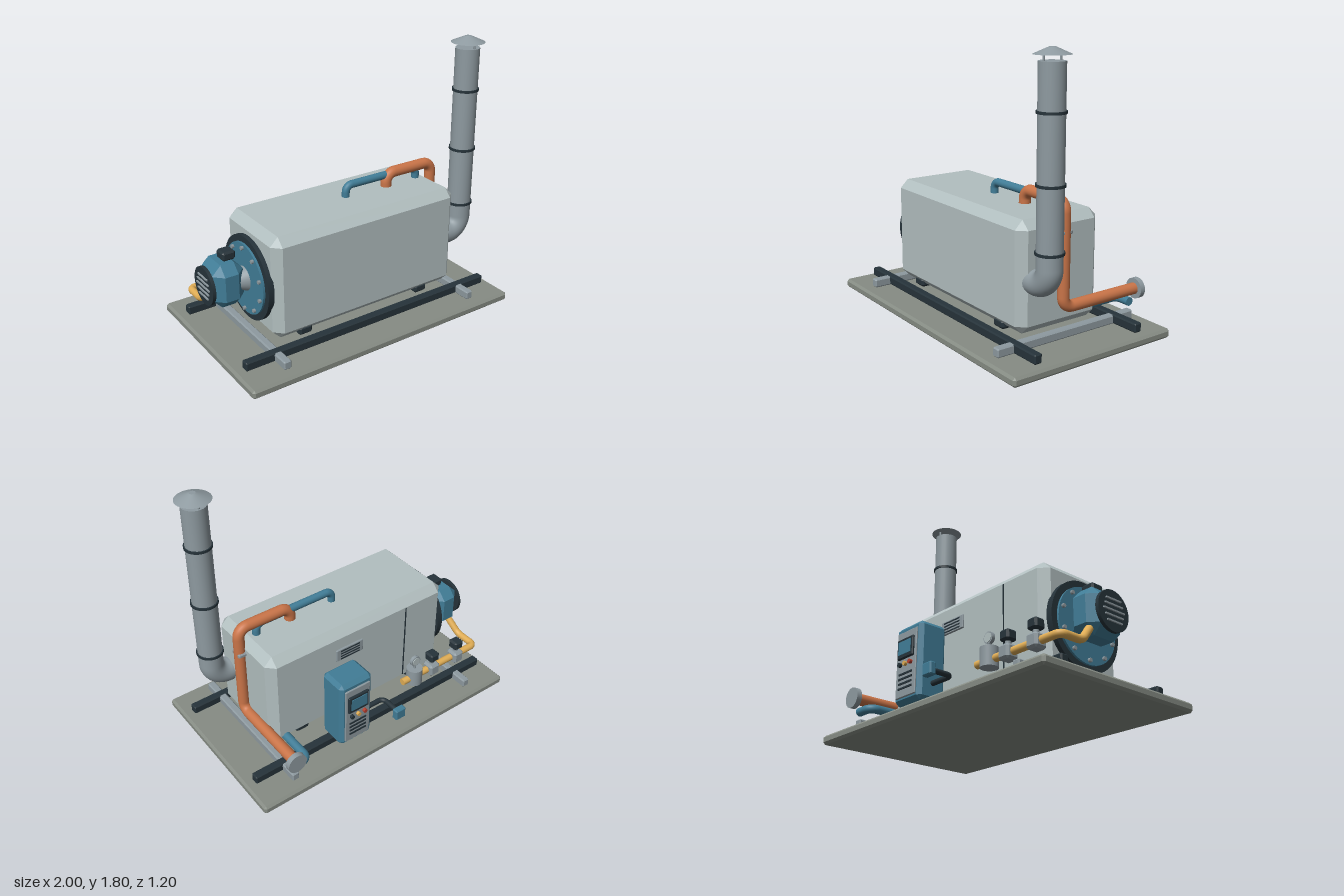
import * as THREE from 'three';
import { ConvexGeometry } from 'three/addons/geometries/ConvexGeometry.js';

const mat = (color) => new THREE.MeshStandardMaterial({ color });
const M = {
  shell: mat(0xb2bfc0), steel: mat(0x8e9aa0), dark: mat(0x26333a), blue: mat(0x417d97),
  orange: mat(0xc97448), yellow: mat(0xe0ad55), plate: mat(0x868c84), red: mat(0xb8402f),
};
const V = (x, y, z) => new THREE.Vector3(x, y, z);

export function createModel() {
  const model = new THREE.Group();
  model.name = 'boilerUnit';

  const add = (name, geo, m, x = 0, y = 0, z = 0) => {
    const mesh = new THREE.Mesh(geo, m);
    mesh.name = name;
    mesh.position.set(x, y, z);
    model.add(mesh);
    return mesh;
  };
  // Box with flat chamfers on all edges
  const block = (name, m, w, h, d, x, y, z, c = 0.008) => {
    const pts = [];
    for (const i of [-1, 1]) for (const j of [-1, 1]) for (const k of [-1, 1]) {
      const a = i * w / 2, b = j * h / 2, e = k * d / 2;
      pts.push(V(a, b - j * c, e - k * c), V(a - i * c, b, e - k * c), V(a - i * c, b - j * c, e));
    }
    return add(name, new ConvexGeometry(pts), m, x, y, z);
  };
  const box = (name, m, w, h, d, x, y, z) => add(name, new THREE.BoxGeometry(w, h, d), m, x, y, z);
  // Cylinder or cone along an axis; r1 is the radius at the positive end
  const cyl = (name, m, axis, r1, r0, len, x, y, z, sides = 32) => {
    const g = new THREE.CylinderGeometry(r1, r0, len, sides);
    if (axis === 'x') g.rotateZ(-Math.PI / 2);
    if (axis === 'z') g.rotateX(Math.PI / 2);
    return add(name, g, m, x, y, z);
  };
  // Capped pipe through points with rounded corners
  const pipe = (name, m, r, bend, points, segs = 90) => {
    const path = new THREE.CurvePath();
    let from = points[0];
    for (let i = 1; i < points.length - 1; i++) {
      const p = points[i];
      const a = p.clone().add(points[i - 1].clone().sub(p).setLength(bend));
      const b = p.clone().add(points[i + 1].clone().sub(p).setLength(bend));
      path.add(new THREE.LineCurve3(from, a));
      const k = 0.552;
      path.add(new THREE.CubicBezierCurve3(a, a.clone().lerp(p, k), b.clone().lerp(p, k), b));
      from = b;
    }
    const last = points[points.length - 1];
    path.add(new THREE.LineCurve3(from, last));
    add(name, new THREE.TubeGeometry(path, segs, r, 24), m);
    for (const [p, q] of [[points[0], points[1]], [last, points[points.length - 2]]]) {
      const cap = add(name + 'End', new THREE.CircleGeometry(r, 24), m, p.x, p.y, p.z);
      cap.lookAt(p.clone().multiplyScalar(2).sub(q));
    }
  };

  // Base and skid
  block('basePlate', M.plate, 2, 0.06, 1.2, 0, 0.03, 0, 0.015);
  for (const s of [-1, 1]) {
    block('skidRail', M.dark, 1.88, 0.06, 0.055, 0, 0.095, s * 0.385);
    block('crossBeam', M.steel, 0.052, 0.058, 1.05, s * 0.72, 0.092, 0);
    for (const z of [-0.18, 0.27]) block('foot', M.dark, 0.1, 0.06, 0.1, s * 0.46, 0.135, z, 0.015);
  }

  // Boiler shell
  block('boilerShell', M.shell, 1.4, 0.69, 0.61, 0.015, 0.475, 0.04, 0.055);
  box('shellSeam', M.dark, 0.008, 0.57, 0.008, -0.35, 0.475, -0.265);
  block('ventPlate', M.steel, 0.21, 0.09, 0.016, 0.115, 0.64, -0.268, 0.004);
  for (let i = 0; i < 4; i++) box('ventSlot', M.dark, 0.15, 0.008, 0.01, 0.115, 0.61 + i * 0.02, -0.274);

  // Burner flange with bolts
  cyl('flangeRing', M.dark, 'x', 0.277, 0.277, 0.04, -0.695, 0.46, 0.035, 48);
  cyl('flangePlate', M.blue, 'x', 0.235, 0.235, 0.016, -0.721, 0.46, 0.035, 48);
  for (let i = 0; i < 10; i++) {
    const a = (i + 0.5) * Math.PI / 5;
    cyl('flangeBolt', M.steel, 'x', 0.013, 0.013, 0.02, -0.735, 0.46 + 0.21 * Math.sin(a), 0.035 + 0.21 * Math.cos(a), 6);
  }

  // Burner
  cyl('burnerNeck', M.steel, 'x', 0.085, 0.045, 0.09, -0.765, 0.46, 0.035);
  block('burnerHousing', M.blue, 0.21, 0.29, 0.275, -0.85, 0.46, -0.025, 0.06);
  cyl('fanCover', M.dark, 'x', 0.125, 0.125, 0.022, -0.965, 0.455, -0.025);
  for (let i = -2; i <= 2; i++) {
    box('fanGrille', M.steel, 0.012, 0.009, 0.17 - Math.abs(i) * 0.025, -0.979, 0.455 + i * 0.033, -0.025);
  }
  block('burnerControl', M.dark, 0.09, 0.06, 0.09, -0.82, 0.635, -0.015, 0.012);

  // Gas train
  pipe('gasPipe', M.yellow, 0.024, 0.035, [
    V(-0.25, 0.25, -0.38), V(-0.91, 0.25, -0.38), V(-0.91, 0.25, -0.22), V(-0.88, 0.37, -0.11)]);
  for (const x of [-0.73, -0.51]) {
    block('gasValve', M.steel, 0.085, 0.09, 0.09, x, 0.25, -0.38, 0.015);
    cyl('valveStem', M.steel, 'y', 0.018, 0.018, 0.04, x, 0.305, -0.38, 16);
    block('valveActuator', M.dark, 0.075, 0.065, 0.075, x, 0.35, -0.38, 0.012);
  }
  cyl('gasFilter', M.steel, 'y', 0.055, 0.055, 0.12, -0.355, 0.265, -0.38);
  cyl('gaugeStem', M.steel, 'y', 0.01, 0.01, 0.05, -0.355, 0.345, -0.38, 12);
  cyl('gaugeCase', M.steel, 'z', 0.037, 0.037, 0.022, -0.355, 0.385, -0.38);
  cyl('gaugeDial', M.shell, 'z', 0.029, 0.029, 0.006, -0.355, 0.385, -0.392);

  // Water pipes
  pipe('topReturnPipe', M.blue, 0.026, 0.045, [
    V(0.035, 0.8, 0.035), V(0.035, 0.895, 0.035), V(0.61, 0.895, 0.035), V(0.61, 0.8, 0.035)]);
  pipe('supplyPipe', M.orange, 0.037, 0.065, [
    V(0.357, 0.79, 0.04), V(0.357, 0.907, 0.04), V(0.735, 0.907, 0.04), V(0.735, 0.257, 0.04), V(0.735, 0.257, -0.55)], 160);
  cyl('supplyFlange', M.steel, 'z', 0.066, 0.066, 0.035, 0.735, 0.257, -0.555);
  block('pipeBracket', M.steel, 0.07, 0.03, 0.09, 0.73, 0.725, 0.04);
  pipe('lowerReturnPipe', M.blue, 0.028, 0.05, [
    V(0.615, 0.175, -0.2), V(0.615, 0.175, -0.505), V(0.735, 0.175, -0.505)]);

  // Chimney
  pipe('chimney', M.steel, 0.079, 0.11, [V(0.69, 0.454, 0.235), V(0.84, 0.454, 0.235), V(0.84, 1.73, 0.235)], 140);
  for (const y of [0.66, 1.05, 1.455]) {
    cyl('chimneyBand', M.dark, 'y', 0.087, 0.087, 0.016, 0.84, y, 0.235);
  }
  for (const s of [-1, 1]) cyl('capPost', M.steel, 'y', 0.007, 0.007, 0.07, 0.84, 1.745, 0.235 + s * 0.06, 10);
  cyl('rainCap', M.steel, 'y', 0.02, 0.11, 0.04, 0.84, 1.785, 0.235);

  // Control cabinet, facing the back
  block('controlCabinet', M.blue, 0.25, 0.5, 0.2, 0.24, 0.37, -0.412, 0.025);
  block('cabinetPanel', M.steel, 0.19, 0.42, 0.014, 0.24, 0.365, -0.515, 0.004);
  block('screenBezel', M.dark, 0.155, 0.13, 0.022, 0.24, 0.46, -0.525, 0.006);
  box('screen', M.blue, 0.12, 0.085, 0.006, 0.24, 0.463, -0.537);
  [M.dark, M.yellow, M.red].forEach((m, i) => {
    cyl('cabinetButton', m, 'z', 0.014, 0.014, 0.025, 0.29 - i * 0.05, 0.36, -0.528, 16);
  });
  for (let i = 0; i < 4; i++) box('cabinetLouver', M.dark, 0.13, 0.012, 0.01, 0.24, 0.21 + i * 0.03, -0.522);

  // Cable conduit and junction box
  pipe('conduit', M.dark, 0.017, 0.04, [V(0.13, 0.23, -0.41), V(-0.06, 0.23, -0.41), V(-0.06, 0.23, -0.57)]);
  block('junctionBox', M.blue, 0.08, 0.08, 0.045, -0.06, 0.23, -0.575, 0.008);

  return model;
}
